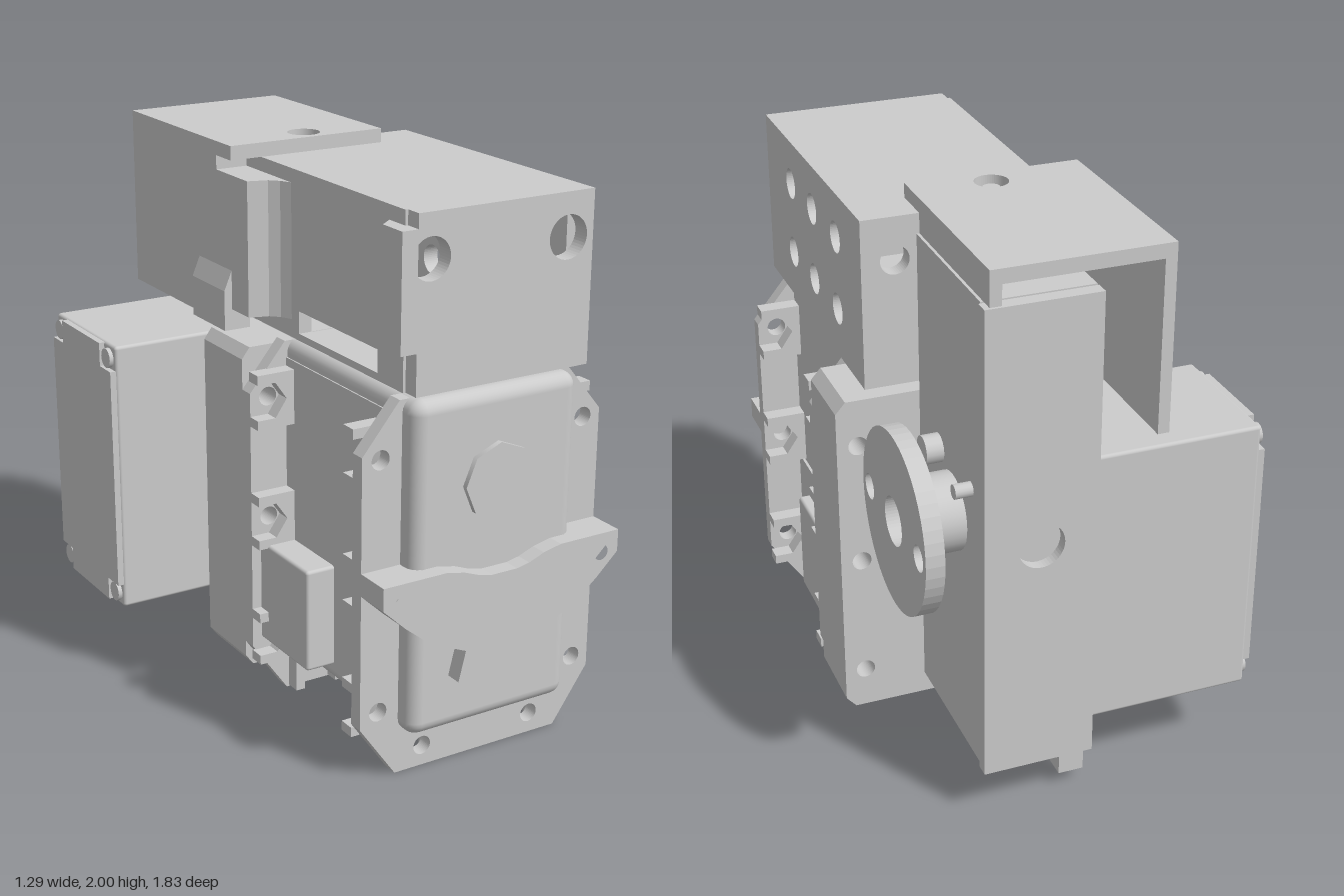
import * as THREE from 'three';
import { RoundedBoxGeometry } from 'three/addons/geometries/RoundedBoxGeometry.js';

const CX = 0.165; // centre line of the front unit

export function createModel() {
  const model = new THREE.Group();
  const mat = new THREE.MeshStandardMaterial({ color: 0xcccccc });

  function add(name, geo) {
    const mesh = new THREE.Mesh(geo, mat);
    mesh.name = name;
    model.add(mesh);
    return mesh;
  }
  // Box given by its limits, optionally with rounded edges
  function box(name, x0, x1, y0, y1, z0, z1, r = 0) {
    const s = [x1 - x0, y1 - y0, z1 - z0];
    const geo = r ? new RoundedBoxGeometry(...s, 3, r) : new THREE.BoxGeometry(...s);
    geo.translate((x0 + x1) / 2, (y0 + y1) / 2, (z0 + z1) / 2);
    return add(name, geo);
  }
  // Polygon with round holes [u, v, r]
  function outline(points, holes = []) {
    const s = new THREE.Shape(points.map(p => new THREE.Vector2(...p)));
    for (const [u, v, r] of holes) s.holes.push(new THREE.Path().absarc(u, v, r, 0, Math.PI * 2, true));
    return s;
  }
  const rect = (u0, u1, v0, v1) => [[u0, v0], [u1, v0], [u1, v1], [u0, v1]];
  // Plate between two limits on an axis; x plates use (z, y), y plates use (x, z)
  function plate(name, axis, from, to, shape) {
    const geo = new THREE.ExtrudeGeometry(shape, { depth: to - from, bevelEnabled: false, curveSegments: 24 });
    if (axis === 'x') geo.rotateY(-Math.PI / 2).translate(to, 0, 0);
    else if (axis === 'y') geo.rotateX(Math.PI / 2).translate(0, to, 0);
    else geo.translate(0, 0, from);
    return add(name, geo);
  }
  // Cylinder lying along x
  function rod(name, x0, x1, y, z, r, sides = 32) {
    const geo = new THREE.CylinderGeometry(r, r, x1 - x0, sides);
    geo.rotateZ(Math.PI / 2).translate((x0 + x1) / 2, y, z);
    return add(name, geo);
  }

  // Front unit: rounded case, flat waist and octagonal knob
  box('frontCase', -0.16, 0.49, 0.155, 1.345, -0.02, 0.86, 0.05);
  box('caseWaist', -0.165, 0.495, 0.21, 1.28, 0.04, 0.74);
  const knob = new THREE.CylinderGeometry(0.135, 0.135, 0.04, 8);
  knob.rotateX(Math.PI / 2).translate(CX, 1.03, 0.86);
  add('frontKnob', knob);

  // Two mounting frames with open nut pockets
  const screwPoints = [];
  for (const y of [1.15, 0.7, 0.25]) screwPoints.push([0.57, y, 0], [-0.24, y, Math.PI]);
  screwPoints.push([-0.06, 0.075, -Math.PI / 2], [0.39, 0.075, -Math.PI / 2]);
  const holes = screwPoints.map(([x, y]) => [x, y, 0.034]);
  const frameShape = outline([[-0.17, 0], [0.5, 0], [0.64, 0.2], [0.64, 1.17], [0.5, 1.34],
    [-0.17, 1.34], [-0.31, 1.17], [-0.31, 0.2]], holes);
  const pocketShape = outline([[-0.075, -0.1], [0.07, -0.1], [0.07, -0.065], [0, -0.065], [-0.045, 0],
    [0, 0.065], [0.07, 0.065], [0.07, 0.1], [-0.075, 0.1]]);
  for (const [name, z0, zPocket] of [['front', 0.73, 0.67], ['rear', 0, 0.05]]) {
    plate(name + 'Frame', 'z', z0, z0 + 0.055, frameShape);
    for (const [x, y, turn] of screwPoints) {
      const pocket = plate(name + 'NutPocket', 'z', 0, 0.06, pocketShape);
      pocket.position.set(x, y, zPocket);
      pocket.rotation.z = turn;
    }
  }

  // Connector blocks on both flanks
  box('leftConnector', 0.48, 0.61, 0.23, 0.61, 0.05, 0.38, 0.012);
  box('rightConnector', -0.275, -0.15, 0.23, 0.61, 0.05, 0.38, 0.012);
  box('leftFlankCover', 0.48, 0.505, 0.19, 0.59, 0.38, 0.73);

  // Crescent bracket on the front with a dovetail foot
  const crescent = [];
  const half = [[0.05, 0.722], [0.1, 0.732], [0.16, 0.755], [0.23, 0.77], [0.475, 0.77], [0.475, 0.69],
    [0.39, 0.61], [0.29, 0.53], [0.15, 0.47]];
  for (const [d, y] of half) crescent.push([CX + d, y]);
  for (const [d, y] of [...half].reverse()) crescent.push([CX - d, y]);
  plate('crescentBracket', 'z', 0.86, 0.92, outline(crescent, [[0.57, 0.7, 0.028], [-0.24, 0.7, 0.028]]));
  for (const s of [1, -1]) {
    const pts = [[0.29, 0.77], [0.475, 0.77], [0.475, 0.69], [0.39, 0.61], [0.33, 0.56]].map(([d, y]) => [CX + s * d, y]);
    plate('crescentLug', 'z', 0.785, 0.86, outline(pts, [[CX + s * 0.405, 0.7, 0.028]]));
  }
  plate('crescentFoot', 'z', 0.86, 0.92, outline([[0.02, 0.48], [-0.01, 0.36], [0.07, 0.343], [CX, 0.337],
    [0.26, 0.343], [0.34, 0.36], [0.31, 0.48]]));

  // Spacer block behind the front unit
  plate('rearSpacer', 'z', -0.28, 0, outline([[-0.28, 0.1], [0.61, 0.1], [0.645, 0.14], [0.645, 1.28],
    [0.61, 1.32], [-0.28, 1.32], [-0.31, 1.28], [-0.31, 0.14]], holes.slice(0, 6)));

  // Hollow upper bracket
  plate('bracketSide', 'x', 0.48, 0.54, outline(rect(-0.28, 0.77, 1.355, 1.95),
    [0.53, 0.27, 0].flatMap(z => [[z, 1.79, 0.055], [z, 1.53, 0.055]])));
  plate('bracketFront', 'z', 0.77, 0.83, outline([[-0.14, 1.355], [0.54, 1.355], [0.54, 1.95], [-0.14, 1.95],
    [-0.14, 1.9], [-0.2, 1.9], [-0.2, 1.5], [-0.14, 1.5]], [[-0.09, 1.8, 0.072], [0.44, 1.8, 0.075]]));
  plate('bracketBack', 'z', -0.28, -0.22, outline(rect(-0.15, 0.48, 1.355, 1.95), [[0.425, 1.8, 0.05]]));
  box('bracketTop', -0.15, 0.48, 1.89, 1.95, -0.22, 0.77);
  const inner = outline(rect(-0.22, 0.77, 1.355, 1.89));
  inner.holes.push(new THREE.Path(rect(0.12, 0.62, 1.38, 1.46).map(p => new THREE.Vector2(...p))));
  plate('bracketInnerSide', 'x', -0.15, -0.1, inner);
  plate('frontGusset', 'y', 1.5, 1.9, outline([[-0.15, 0.68], [-0.15, 0.77], [-0.2, 0.77], [-0.2, 0.72]]));
  plate('rearFlange', 'y', 1.42, 1.9, outline([[-0.27, -0.28], [-0.15, -0.28], [-0.15, 0.12], [-0.15, 0.07],
    [-0.17, 0.03], [-0.2, 0], [-0.27, -0.02]]));

  // Cover over the drive unit: thin top with a screw hole, edge lip and hanging wall
  plate('coverTop', 'y', 1.95, 2, outline(rect(-0.27, 0.34, -0.9, -0.135), [[0.07, -0.22, 0.058]]));
  rod('coverScrew', -0.02, 0.02, 0, 0, 0.03, 20).geometry.rotateZ(Math.PI / 2).translate(0.07, 1.96, -0.22);
  box('coverLip', 0.3, 0.34, 1.88, 1.95, -0.9, -0.28);
  box('coverFrontLip', -0.27, 0.34, 1.88, 1.95, -0.28, -0.24);
  box('coverWall', -0.27, -0.23, 1.35, 1.95, -0.9, -0.28);
  plate('coverClip', 'z', -0.38, -0.14, outline([[-0.3, 1.345], [-0.2, 1.345], [-0.2, 1.56], [-0.27, 1.56], [-0.3, 1.49]]));

  // Upright column and its back plate
  box('column', -0.03, 0.35, 0.18, 1.88, -0.85, -0.28);
  plate('backPlate', 'z', -0.91, -0.86, outline(rect(-0.03, 0.36, 0.18, 1.88), [[0.165, 1.03, 0.08]]));
  box('backPlateSeam', -0.02, 0.335, 0.19, 1.87, -0.87, -0.84);

  // Drive unit: body and end cap with screws in its notched corners
  const y0 = 0.27, y1 = 1.28, z0 = -0.855, z1 = -0.35, n = 0.09;
  box('driveBody', -0.63, -0.02, y0, y1, z0, z1, 0.012);
  plate('driveEndCap', 'x', -0.65, -0.61, outline([[z0 + n, y0 + 0.004], [z1 - n, y0 + 0.004], [z1 - n, y0 + n],
    [z1 - 0.004, y0 + n], [z1 - 0.004, y1 - n], [z1 - n, y1 - n], [z1 - n, y1 - 0.004], [z0 + n, y1 - 0.004],
    [z0 + n, y1 - n], [z0 + 0.004, y1 - n], [z0 + 0.004, y0 + n], [z0 + n, y0 + n]]));
  for (const y of [y0 + 0.05, y1 - 0.05])
    for (const z of [z0 + 0.05, z1 - 0.05]) rod('capScrew', -0.645, -0.61, y, z, 0.036, 16);

  // Mounting ear with two keyhole slots open at the bottom
  const ear = new THREE.Shape();
  ear.moveTo(-0.84, 0.2).lineTo(-0.84, 0.05);
  for (const z of [-0.73, -0.47]) {
    ear.lineTo(z - 0.025, 0.05);
    ear.absarc(z, 0.12, 0.06, Math.PI * 1.5 - 0.43, -Math.PI / 2 + 0.43, true);
    ear.lineTo(z + 0.025, 0.05);
  }
  ear.lineTo(-0.36, 0.05).lineTo(-0.36, 0.2);
  plate('mountingEar', 'x', -0.03, 0.06, ear);

  // Output hub, studs and round horn
  const hy = 1.03, hz = -0.595;
  const disc = new THREE.Shape().absarc(hz, hy, 0.315, 0, Math.PI * 2);
  for (const [d, r] of [[0, 0.085], [0.245, 0.045], [-0.245, 0.045]])
    disc.holes.push(new THREE.Path().absarc(hz + d, hy, r, 0, Math.PI * 2, true));
  plate('outputHorn', 'x', 0.49, 0.555, disc);
  rod('outputHub', 0.34, 0.5, hy, hz, 0.135);
  rod('hornScrew', 0.5, 0.52, hy, hz, 0.042, 20);
  rod('rearStud', 0.34, 0.41, 1.2, -0.765, 0.025, 16);
  rod('frontStud', 0.34, 0.41, 1.2, -0.47, 0.05, 16);
  return model;
}
